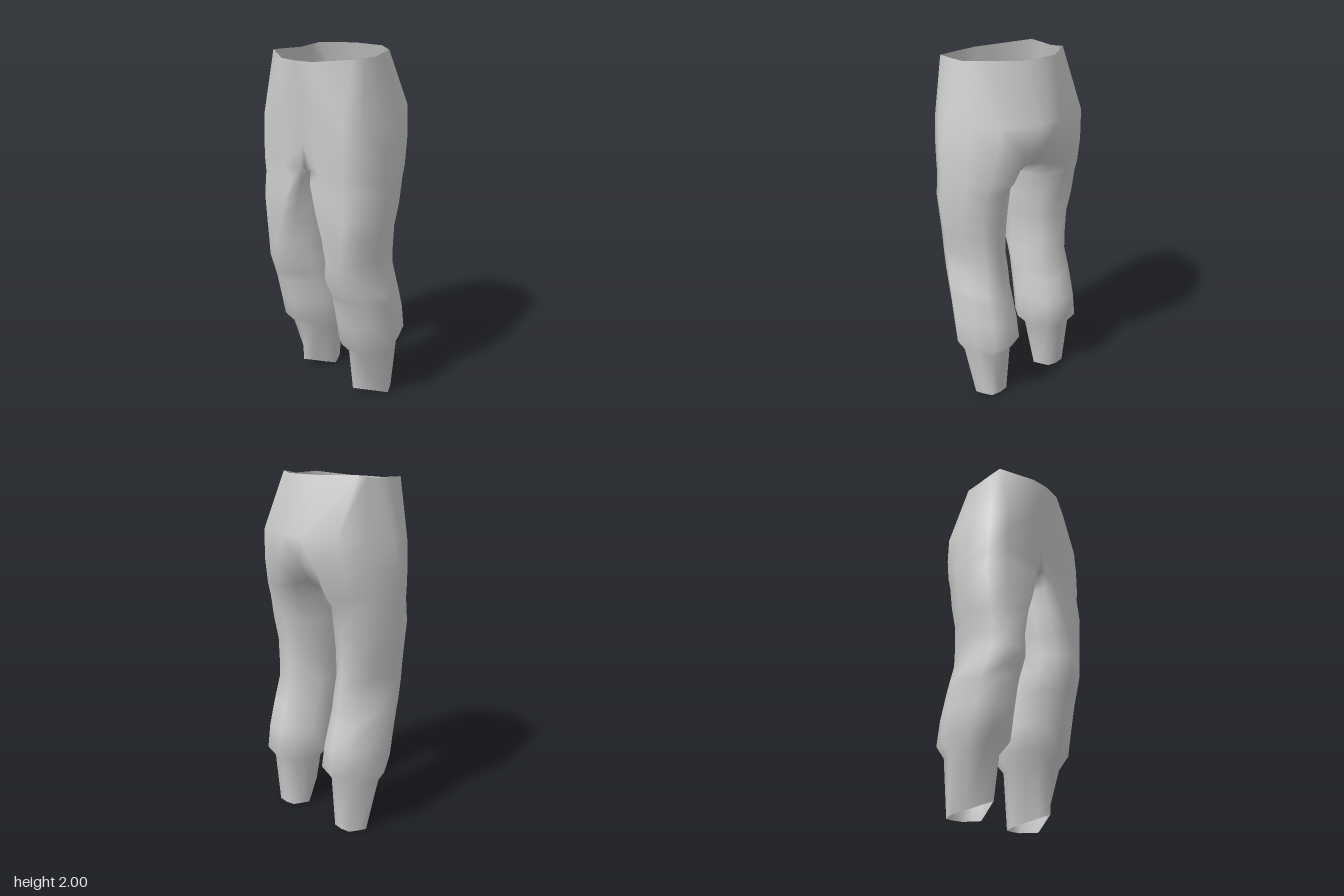
import * as THREE from 'three';
import { mergeVertices } from 'three/addons/utils/BufferGeometryUtils.js';

// Pelvis half-rings [x, y, z], from front centre round the side to back centre
const waist = [[0, 1.96, .312], [.11, 1.96, .298], [.3, 1.98, .2], [.294, 1.98, .11], [.285, 1.98, .02],
  [.272, 1.99, -.04], [.26, 2, -.1], [.1, 2, -.22], [0, 2, -.22]];
const hip = [[0, 1.7, .285], [.11, 1.7, .285], [.305, 1.65, .272], [.345, 1.65, .17], [.38, 1.65, .06],
  [.325, 1.68, -.1], [.26, 1.7, -.258], [.06, 1.7, -.318], [0, 1.7, -.315]];
const seat = [[0, 1.53, .266], [.12, 1.52, .28], [.312, 1.52, .275], [.357, 1.52, .175], [.4, 1.52, .07],
  [.345, 1.52, -.09], [.285, 1.53, -.235], [.13, 1.54, -.28], [0, 1.55, -.265]];

// Closed ring at the top of the leg; the last three points run along the inseam
const crotch = [[.04, 1.39, .25], [.14, 1.39, .28], [.312, 1.39, .275], [.36, 1.39, .175], [.407, 1.39, .07],
  [.355, 1.39, -.08], [.3, 1.39, -.205], [.18, 1.39, -.25], [.09, 1.42, -.19],
  [.06, 1.39, -.08], [.042, 1.39, .04], [.04, 1.39, .15]];

// Leg cross-section: u inner to outer, v back to front
const section = [[.25, .87], [.46, 1], [.74, .97], [.87, .75], [1, .53], [.86, .27],
  [.72, .03], [.45, 0], [.22, .1], [.09, .31], [0, .5], [.11, .69]];

// Leg rows: y, inner x, outer x, back z, front z, amount of front inner chamfer
const legRows = [
  [1.32, .04, .41, -.195, .283, .2],
  [1.18, .04, .415, -.17, .295, .5],
  [1.05, .045, .395, -.15, .297, .8],
  [.92, .06, .375, -.155, .297, 1],
  [.82, .045, .375, -.162, .295, 1],
  [.71, .04, .4, -.18, .25, 1],
  [.66, .037, .403, -.195, .235, 1],
  [.52, .03, .407, -.235, .205, 1],
  [.38, .02, .415, -.252, .175, 1],
  [.31, .08, .375, -.2, .115, 1],
];

// Ankle opening [x, z], cut higher at the front
const ankle = [[.19, .046], [.22, .1], [.255, .046], [.293, -.015], [.335, -.08], [.31, -.125],
  [.28, -.168], [.225, -.175], [.17, -.165], [.142, -.12], [.12, -.08], [.155, -.015]]
  .map(([x, z]) => [x, Math.max(0, (z + .08) / 3), z]);

function halfTriangles() {
  const tris = [];
  const quad = (a, b, c, d) => tris.push([a, b, c], [a, c, d]);
  const loft = (upper, lower, closed) => {
    const n = closed ? upper.length : 9;
    for (let i = 0; i < (closed ? n : n - 1); i++) {
      const j = (i + 1) % n;
      quad(upper[i], lower[i], lower[j], upper[j]);
    }
  };

  // Pelvis
  loft(waist, hip, false);
  loft(hip, seat, false);
  loft(seat, crotch, false);

  // Crotch strip joining the two legs, rising at the back
  const inseam = [0, 11, 10, 9, 8].map(i => crotch[i]);
  const centre = inseam.map(([, y, z], k) => [0, k === 4 ? 1.46 : y, z]);
  tris.push([seat[0], centre[0], inseam[0]], [seat[8], inseam[4], centre[4]]);
  for (let k = 0; k < 4; k++) quad(centre[k], centre[k + 1], inseam[k + 1], inseam[k]);

  // Leg
  const rings = legRows.map(([y, x0, x1, z0, z1, chamfer]) => section.map(([u, v]) => {
    const across = v > .6 && u < .5 ? u * chamfer : u;
    return [x0 + across * (x1 - x0), y, z0 + v * (z1 - z0)];
  }));
  const all = [crotch, ...rings, ankle];
  for (let r = 0; r < all.length - 1; r++) loft(all[r], all[r + 1], true);
  return tris;
}

export function createModel() {
  const positions = [];
  // Mirror the left half to make the right, reversing the corner order
  for (const [a, b, c] of halfTriangles()) {
    positions.push(...a, ...b, ...c);
    for (const [x, y, z] of [a, c, b]) positions.push(x === 0 ? 0 : -x, y, z);
  }
  let geometry = new THREE.BufferGeometry();
  geometry.setAttribute('position', new THREE.Float32BufferAttribute(positions, 3));
  geometry = mergeVertices(geometry, 1e-4);
  geometry.computeVertexNormals();

  const cloth = new THREE.MeshStandardMaterial({ color: 0xcccccc, side: THREE.DoubleSide });
  cloth.name = 'light grey cloth';
  const trousers = new THREE.Mesh(geometry, cloth);
  trousers.name = 'trousers';

  const group = new THREE.Group();
  group.name = 'trousersModel';
  group.add(trousers);
  return group;
}
